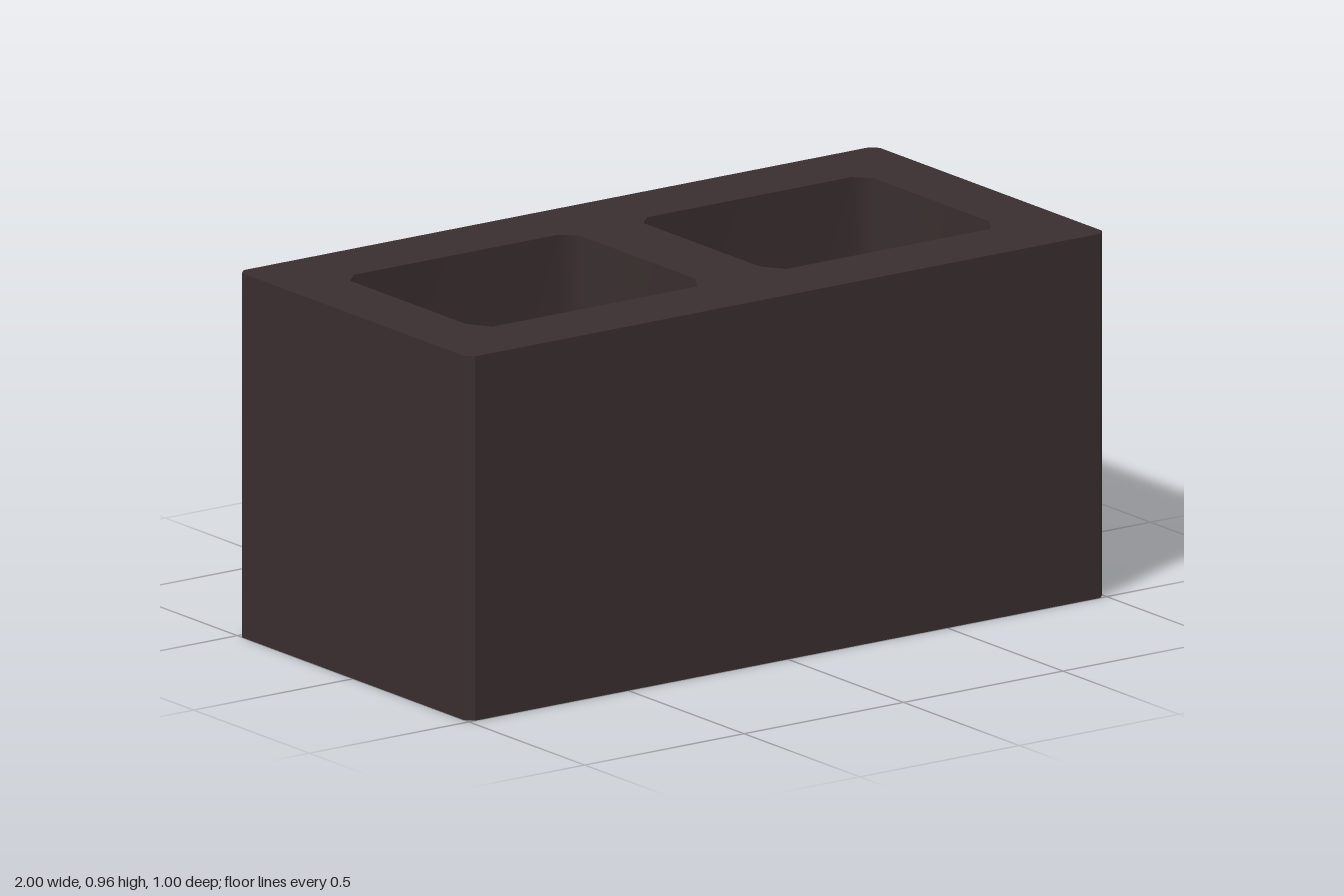
import * as THREE from 'three';

const HEIGHT = 0.96;

// Chamfered rectangle, counter-clockwise in (x, -z); cut = [x cut, front cut, back cut]
function outline(x0, x1, halfDepth, [c, front, back]) {
  const d = halfDepth;
  return [
    [x0 + c, -d], [x1 - c, -d], [x1, -d + front], [x1, d - back],
    [x1 - c, d], [x0 + c, d], [x0, d - back], [x0, -d + front],
  ].map(([x, y]) => new THREE.Vector2(x, y));
}

// Upright wall round a closed outline
function wallGeometry(points, smooth) {
  const n = points.length, positions = [], index = [];
  for (const p of points) positions.push(p.x, 0, -p.y, p.x, HEIGHT, -p.y);
  for (let i = 0; i < n; i++) {
    const a = 2 * i, b = 2 * ((i + 1) % n);
    index.push(a, b, b + 1, a, b + 1, a + 1);
  }
  let geometry = new THREE.BufferGeometry();
  geometry.setAttribute('position', new THREE.Float32BufferAttribute(positions, 3));
  geometry.setIndex(index);
  if (!smooth) geometry = geometry.toNonIndexed();
  geometry.computeVertexNormals();
  return geometry;
}

export function createModel() {
  const group = new THREE.Group();
  group.name = 'hollowBlock';
  const concrete = new THREE.MeshStandardMaterial({ color: 0x392e2f });
  concrete.name = 'darkConcrete';
  const add = (name, geometry) => {
    const mesh = new THREE.Mesh(geometry, concrete);
    mesh.name = name;
    group.add(mesh);
  };

  const outer = outline(-1, 1, 0.5, [0.02, 0.02, 0.02]);
  const cores = [
    outline(0.1, 0.82, 0.3, [0.04, 0.06, 0.04]),
    outline(-0.82, -0.1, 0.3, [0.04, 0.06, 0.04]),
  ];

  // Outer wall with crisp chamfers, core walls with soft corners
  add('outerWall', wallGeometry(outer, false));
  cores.forEach((core, i) => {
    add(i ? 'rightCoreWall' : 'leftCoreWall', wallGeometry([...core].reverse(), true));
  });

  // Top and bottom faces, pierced by the cores
  for (const side of [1, -1]) {
    const flip = (points) => points.map((p) => new THREE.Vector2(p.x, p.y * side));
    const shape = new THREE.Shape(flip(outer));
    shape.holes = cores.map((core) => new THREE.Path(flip(core)));
    const face = new THREE.ShapeGeometry(shape);
    face.rotateX(-side * Math.PI / 2);
    face.translate(0, side > 0 ? HEIGHT : 0, 0);
    add(side > 0 ? 'topFace' : 'bottomFace', face);
  }
  return group;
}
